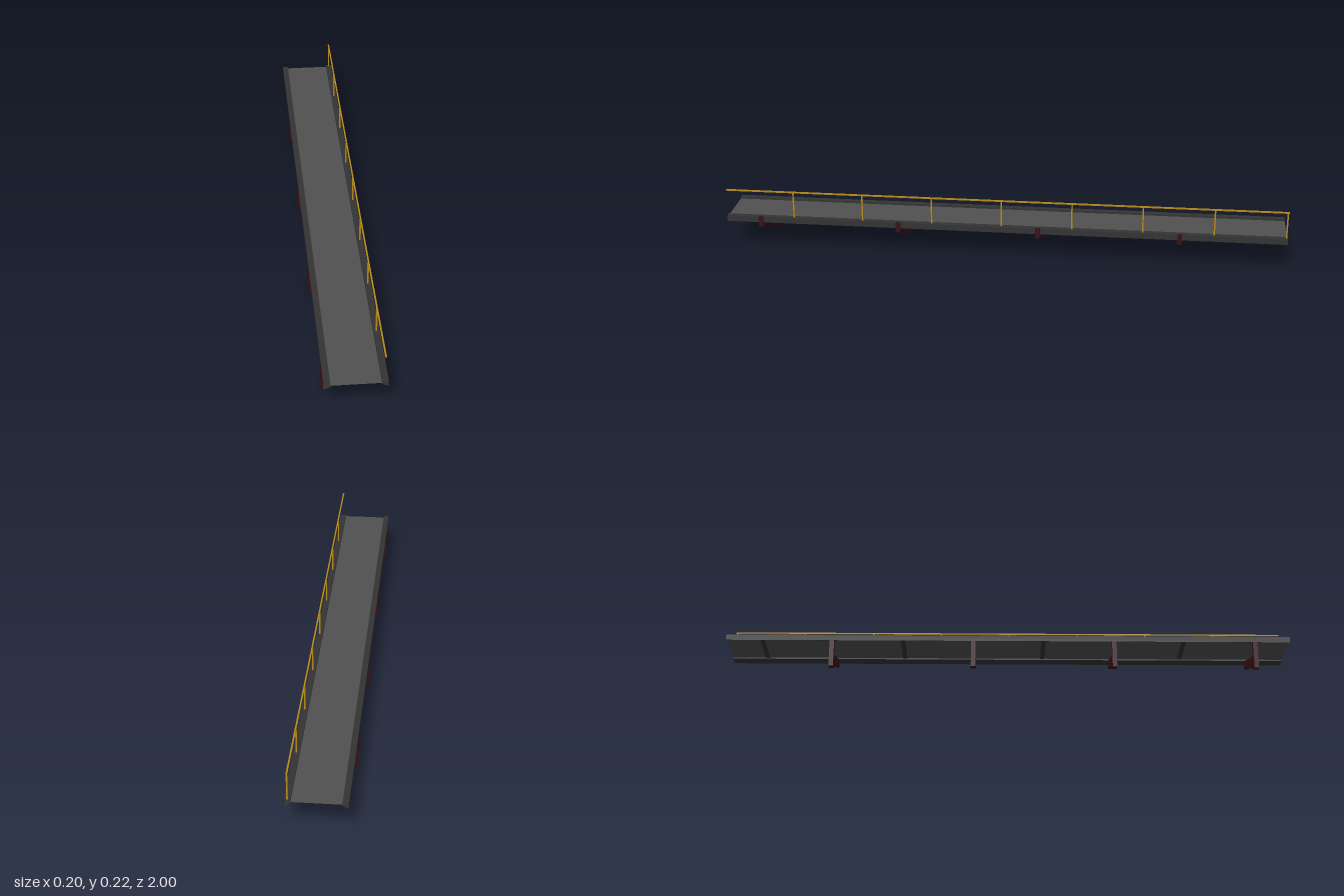
import * as THREE from 'three';

const LENGTH = 2;
const mat = (color, side = THREE.FrontSide) => new THREE.MeshStandardMaterial({ color, side });
const deckMat = mat(0x505050, THREE.DoubleSide);
const beamMat = mat(0x333333, THREE.DoubleSide);
const bracketMat = mat(0x3a1014);
const railMat = mat(0xb88a18);

function add(parent, name, geometry, material, x = 0, y = 0, z = 0) {
  const mesh = new THREE.Mesh(geometry, material);
  mesh.name = name;
  mesh.position.set(x, y, z);
  parent.add(mesh);
  return mesh;
}

// Open-ended sheet metal: sweeps a line of [x, y] points along z
function sheet(points, length) {
  const h = length / 2, pos = [];
  for (let i = 0; i < points.length - 1; i++) {
    const [ax, ay] = points[i], [bx, by] = points[i + 1];
    pos.push(ax, ay, h, ax, ay, -h, bx, by, -h);
    pos.push(ax, ay, h, bx, by, -h, bx, by, h);
  }
  const geo = new THREE.BufferGeometry();
  geo.setAttribute('position', new THREE.Float32BufferAttribute(pos, 3));
  geo.computeVertexNormals();
  return geo;
}

export function createModel() {
  const model = new THREE.Group();
  model.name = 'walkway';

  // Floor plate between the edge beams
  add(model, 'deck', sheet([[0.076, 0.112], [-0.083, 0.112]].reverse(), LENGTH), deckMat);

  // Hollow edge beams with sloping undersides
  const beam = (outer, inner) => sheet(
    [[outer, 0.098], [outer, 0.119], [inner, 0.119], [inner, 0.107], [outer, 0.098]], LENGTH);
  add(model, 'rightBeam', beam(-0.103, -0.083), beamMat);
  add(model, 'leftBeam', beam(0.097, 0.076), beamMat);

  // Flat stiffening strips under the floor, halfway between brackets
  for (let i = 0; i < 4; i++) {
    add(model, 'floorStrip', sheet([[-0.083, 0.1105], [0.076, 0.1105]], 0.016), beamMat,
      0, 0, 0.625 - i * 0.5);
  }

  // Support brackets: wall foot, sloping arm and outer lug
  const outline = new THREE.Shape([
    [-0.103, 0], [-0.083, 0], [0.076, 0.084], [0.102, 0.084], [0.102, 0.122],
    [0.097, 0.122], [0.097, 0.098], [0.076, 0.107], [-0.083, 0.052],
    [-0.083, 0.107], [-0.103, 0.098],
  ].map(([x, y]) => new THREE.Vector2(x, y)));
  const bracket = new THREE.ExtrudeGeometry(outline, { depth: 0.016, bevelEnabled: false });
  bracket.translate(0, 0, -0.008);
  for (let i = 0; i < 4; i++) {
    add(model, 'bracket', bracket, bracketMat, 0, 0, 0.875 - i * 0.5);
  }

  // Handrail on one side with evenly spaced posts
  const railing = new THREE.Group();
  railing.name = 'railing';
  model.add(railing);
  const t = 0.005, railX = 0.086;
  add(railing, 'handrail', new THREE.BoxGeometry(t, t, LENGTH), railMat, railX, 0.2145, 0);
  const post = new THREE.BoxGeometry(t, 0.094, t);
  for (let i = 0; i < 8; i++) {
    add(railing, 'post', post, railMat, railX, 0.166, 0.755 - i * 0.25);
  }

  return model;
}
